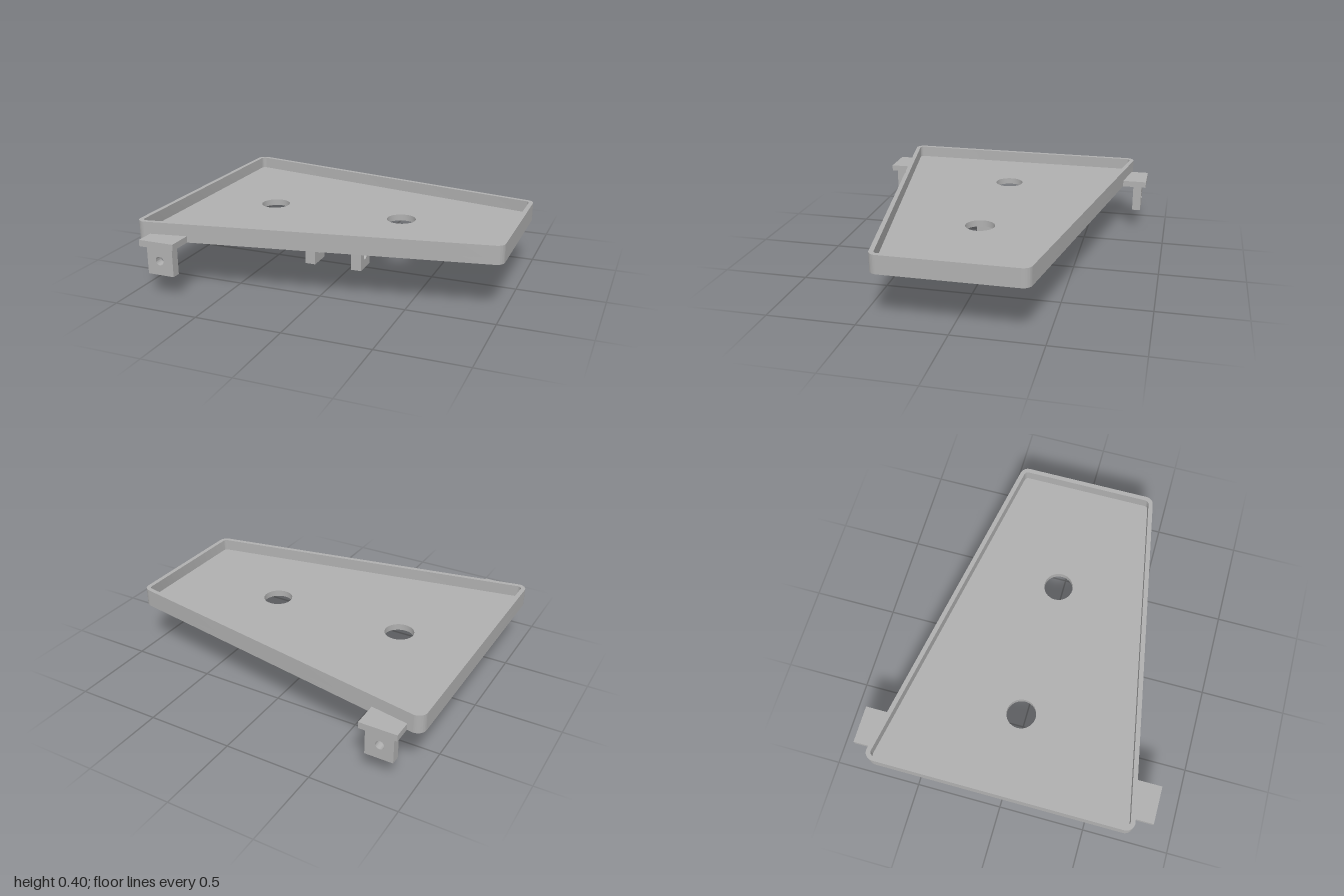
import * as THREE from 'three';
import { toCreasedNormals } from 'three/addons/utils/BufferGeometryUtils.js';

const BASE = 0.298, FLOOR_TOP = 0.335, RIM_TOP = 0.404;
const SLOPE = 0.18;                                // taper of the long sides
const edgeZ = (x) => 0.593 - SLOPE * x;            // half width of the tray at x

// Tapered outline with rounded corners, moved inward by inset
function trayOutline(inset, radius) {
  const d = inset + radius, a = Math.atan(SLOPE), H = Math.PI / 2;
  const z = (x) => edgeZ(x) - d * Math.hypot(1, SLOPE);
  const xr = 1 - d, xl = -1 + d;
  const s = new THREE.Shape();
  s.absarc(xr, z(xr), radius, 0, H - a);
  s.absarc(xl, z(xl), radius, H - a, Math.PI);
  s.absarc(xl, -z(xl), radius, Math.PI, 3 * H + a);
  s.absarc(xr, -z(xr), radius, 3 * H + a, 4 * H);
  s.closePath();
  return s;
}

function polygon(points) {
  return new THREE.Shape(points.map(([x, y]) => new THREE.Vector2(x, y)));
}

function rectangle(x0, x1, y0, y1) {
  return polygon([[x0, y0], [x1, y0], [x1, y1], [x0, y1]]);
}

function addHole(shape, x, y, r) {
  shape.holes.push(new THREE.Path().absarc(x, y, r, 0, Math.PI * 2, true));
  return shape;
}

function extrude(shape, depth) {
  return new THREE.ExtrudeGeometry(shape, { depth, bevelEnabled: false, curveSegments: 16 });
}

// Extrudes a plan shape upward from y0 to y1
function slab(shape, y0, y1) {
  return extrude(shape, y1 - y0).rotateX(-Math.PI / 2).translate(0, y0, 0);
}

export function createModel() {
  const group = new THREE.Group();
  const grey = new THREE.MeshStandardMaterial({ color: 0xb0b0b0 });
  grey.name = 'grey';

  const add = (name, geometry) => {
    const mesh = new THREE.Mesh(toCreasedNormals(geometry, 0.6), grey);
    mesh.name = name;
    group.add(mesh);
  };

  // Tray floor with two round openings, and the rim around it
  const floor = trayOutline(0, 0.05);
  for (const x of [-0.51, 0.305]) addHole(floor, x, 0, 0.085);
  add('trayFloor', slab(floor, BASE, FLOOR_TOP));

  const rim = trayOutline(0, 0.05);
  rim.holes.push(trayOutline(0.026, 0.024));
  add('trayRim', slab(rim, FLOOR_TOP, RIM_TOP));

  // Side brackets: a flat tab outside the rim with a drilled lug below
  for (const [side, s] of [['left', 1], ['right', -1]]) {
    const x0 = -0.915, x1 = -0.702, inner = 0.01;
    const tab = polygon([
      [x0, -s * (edgeZ(x0) - inner)], [x1, -s * (edgeZ(x1) - inner)],
      [x1, -s * 0.865], [x0, -s * 0.865],
    ]);
    const end = s > 0 ? 'front' : 'back';
    add(end + 'BracketTab', slab(tab, BASE, FLOOR_TOP));

    const lug = addHole(rectangle(-0.887, -0.727, 0.132, BASE), -0.81, 0.215, 0.025);
    add(end + 'BracketLug', extrude(lug, 0.052).translate(0, 0, s > 0 ? 0.785 : -0.837));
  }

  // Pair of drilled legs under the middle
  ['outerLeg', 'innerLeg'].forEach((name, i) => {
    const leg = addHole(rectangle(-0.073, 0.073, 0, BASE), 0, 0.077, 0.025);
    add(name, extrude(leg, 0.064).rotateY(Math.PI / 2).translate(i ? 0.017 : -0.283, 0, 0));
  });

  return group;
}
